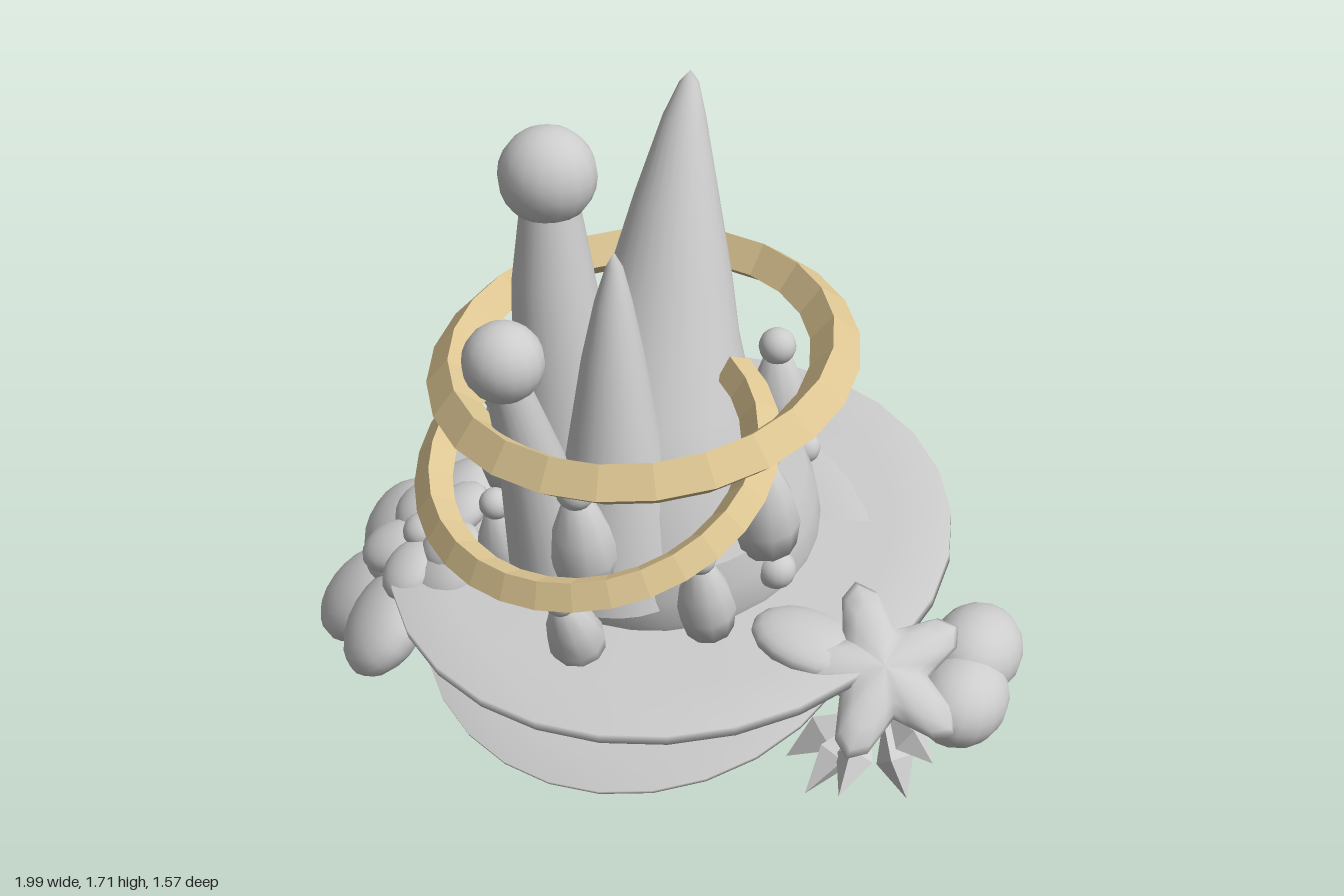
import * as THREE from 'three';
import { mergeVertices } from 'three/addons/utils/BufferGeometryUtils.js';

const TILT = 0.203, UP = new THREE.Vector3(0, 1, 0);

export function createModel() {
  const grey = new THREE.MeshStandardMaterial({ color: 0xcccccc, side: THREE.DoubleSide });
  grey.name = 'clay grey';
  const gold = new THREE.MeshStandardMaterial({ color: 0xdcc592, side: THREE.DoubleSide, flatShading: true });
  gold.name = 'pale gold';
  const model = new THREE.Group();

  const add = (name, geometry, parent = model, material = grey, p = [0, 0, 0]) => {
    const mesh = new THREE.Mesh(geometry, material);
    mesh.name = name;
    mesh.position.set(...p);
    parent.add(mesh);
    return mesh;
  };
  const group = (name, p, parent = model) => {
    const g = new THREE.Group();
    g.name = name;
    g.position.set(...p);
    parent.add(g);
    return g;
  };
  const lathe = (pts, seg) => new THREE.LatheGeometry(pts.map(p => new THREE.Vector2(...p)), seg);
  const ball = (name, r, p, parent = model) =>
    add(name, new THREE.SphereGeometry(r, 16, 12), parent, grey, p);

  // Round sections along a bent axis: rows of [y, x, z, radius]
  const horn = (name, rows, seg = 24) => {
    let geo = lathe(rows.map(r => [r[3], r[0]]), seg);
    const pos = geo.attributes.position;
    for (let i = 0; i < pos.count; i++) {
      const row = rows[i % rows.length];
      pos.setXYZ(i, pos.getX(i) + row[1], pos.getY(i), pos.getZ(i) + row[2]);
    }
    geo.deleteAttribute('uv');
    geo.deleteAttribute('normal');
    geo = mergeVertices(geo);
    geo.computeVertexNormals();
    return add(name, geo);
  };

  // Two crossing brims: the upper is a ring around the crown, the lower a full disc
  const brim = (name, p, tilt, inner, outer, edge) => {
    const m = add(name, lathe([[inner, -0.035], [outer * 0.8, -0.03], [outer, -edge], [outer, edge],
      [outer * 0.8, 0.022], [inner, 0.03]], 28), model, grey, p);
    m.rotation.x = tilt;
  };
  brim('upperBrim', [-0.02, 0.425, -0.03], TILT, 0.4, 0.765, 0.015);
  brim('lowerBrim', [-0.02, 0.325, 0.1], 0.453, 0, 0.625, 0.006);

  // Crown band with a slight bulge
  const crown = group('crown', [-0.02, 0.425, -0.03]);
  crown.rotation.x = TILT;
  add('crownBand', lathe([[0.37, -0.06], [0.4, -0.02], [0.415, 0.05], [0.41, 0.13], [0.39, 0.205]], 28), crown);
  add('crownFloor', new THREE.CylinderGeometry(0.37, 0.37, 0.01, 28), crown, grey, [0, -0.055, 0]);
  add('crownTop', new THREE.CylinderGeometry(0.39, 0.39, 0.01, 28), crown, grey, [0, 0.2, 0]);

  // Tall horns
  horn('mainHorn', [[0.45, 0, 0.08, 0.3], [0.7, -0.005, 0.065, 0.28], [0.9, -0.015, 0.025, 0.235],
    [1.05, -0.02, 0, 0.195], [1.2, -0.02, -0.035, 0.16], [1.4, -0.025, -0.08, 0.11],
    [1.6, -0.03, -0.135, 0.055], [1.68, -0.03, -0.162, 0.025], [1.71, -0.03, -0.17, 0]]);
  horn('frontHorn', [[0.45, -0.02, 0.27, 0.19], [0.7, -0.02, 0.27, 0.15], [0.95, -0.025, 0.27, 0.105],
    [1.1, -0.028, 0.265, 0.08], [1.25, -0.03, 0.257, 0.048], [1.34, -0.03, 0.25, 0.022], [1.38, -0.03, 0.25, 0]]);

  // Ball-topped columns
  horn('tallColumn', [[0.5, -0.18, 0.2, 0.17], [1, -0.21, 0.2, 0.13], [1.25, -0.23, 0.2, 0.105], [1.45, -0.235, 0.2, 0.075]]);
  ball('tallColumnBall', 0.125, [-0.24, 1.525, 0.2]);
  horn('shortColumn', [[0.45, -0.15, 0.36, 0.12], [0.85, -0.18, 0.42, 0.085], [1.1, -0.2, 0.5, 0.055]]);
  ball('shortColumnBall', 0.103, [-0.2, 1.16, 0.51]);

  // Small pins, placed by the centre of the head
  const pin = (name, head, s, lean) => {
    const g = group(name, head);
    g.rotation.x = lean;
    g.scale.setScalar(s);
    ball('pinHead', 0.05, [0, 0, 0], g);
    add('pinBody', lathe([[0, -0.29], [0.075, -0.29], [0.09, -0.21], [0.075, -0.13], [0.038, -0.035], [0, -0.03]], 10), g);
  };
  for (const s of [-1, 1]) {
    pin('backPin', [-0.03 + s * 0.235, 0.96, -0.22], 1, 0.1);
    pin('sidePin', [-0.03 + s * 0.375, 0.87, 0.19], 1, TILT);
    pin('lowerSidePin', [-0.03 + s * 0.295, 0.65, 0.37], 0.85, 0.25);
    ball('sideBead', 0.052, [-0.03 + s * 0.4, 0.51, 0.13]);
    ball('backBead', 0.045, [-0.03 + s * 0.27, 0.6, -0.34]);
  }
  pin('frontPin', [-0.03, 0.82, 0.47], 1, TILT);
  pin('lowerFrontPin', [-0.03, 0.55, 0.56], 0.85, 0.45);

  // Gold rings of diamond section, the lower one open at the back
  const ring = (name, p, tilt, R, tube, start, arc) => {
    const g = group(name, p);
    g.rotation.x = tilt;
    add('band', new THREE.TorusGeometry(R, tube, 4, 24, arc).rotateZ(start).rotateX(Math.PI / 2), g, gold);
    if (arc < 6) for (const a of [start, start + arc]) {
      add('bandEnd', new THREE.CircleGeometry(tube, 4), g, gold,
        [R * Math.cos(a), 0, R * Math.sin(a)]).rotation.y = -a;
    }
  };
  ring('upperRing', [-0.03, 1.02, 0.1], 0.2, 0.495, 0.064, 0, Math.PI * 2);
  ring('lowerRing', [-0.03, 0.865, 0.36], 0.43, 0.42, 0.05, -1.0, 4.9);

  // Five-petal flowers on one side of the brim, a small one above the large one
  const petal = (name, parent, p, size) => {
    const m = ball(name, 1, p, parent);
    m.scale.set(...size);
    return m;
  };
  const flower = (name, p, normal, scale) => {
    const g = group(name, p);
    g.quaternion.setFromUnitVectors(UP, new THREE.Vector3(...normal).normalize());
    g.scale.setScalar(scale);
    for (let i = 0; i < 5; i++) {
      const spoke = group('petalSpoke', [0, 0, 0], g);
      spoke.rotation.y = i * Math.PI * 0.4 + 0.93;
      petal('petal', spoke, [0.175, 0, 0], [0.16, 0.085, 0.135]);
    }
    petal('flowerCentre', g, [0, 0.05, 0], [0.085, 0.07, 0.085]);
  };
  flower('flower', [-0.715, 0.255, 0.2], [-0.53, 0.67, 0.42], 1.07);
  flower('smallFlower', [-0.62, 0.4, 0.25], [-0.3, 0.83, 0.42], 0.62);

  // Starfish on the other side
  const starGeo = new THREE.SphereGeometry(1, 30, 8);
  const sp = starGeo.attributes.position;
  for (let i = 0; i < sp.count; i++) {
    const x = sp.getX(i), z = sp.getZ(i);
    const f = 0.185 + 0.06 * Math.cos(5 * Math.atan2(z, x));
    sp.setXYZ(i, x * f, sp.getY(i) * 0.06, z * f);
  }
  starGeo.rotateY(-0.2);
  starGeo.computeVertexNormals();
  const star = add('starfish', starGeo, model, grey, [0.7, 0.34, 0.21]);
  star.quaternion.setFromUnitVectors(UP, new THREE.Vector3(0.38, 0.75, 0.5).normalize());

  // Shells around the starfish
  petal('shell', model, [0.86, 0.285, -0.07], [0.12, 0.11, 0.155]).rotation.z = -0.4;
  petal('shell', model, [0.875, 0.225, 0.07], [0.12, 0.115, 0.155]).rotation.z = -0.3;
  petal('shell', model, [0.51, 0.38, 0.22], [0.16, 0.055, 0.12]).rotation.z = -0.15;

  // Pointed crystals hanging below the starfish
  const centre = new THREE.Vector3(0.7, 0.26, 0.22);
  for (const tip of [[0.52, 0.13, 0.38], [0.6, 0.08, 0.44], [0.7, 0.12, 0.46], [0.83, 0.06, 0.32], [0.88, 0.16, 0.28]]) {
    const end = new THREE.Vector3(...tip), dir = end.clone().sub(centre);
    const mid = centre.clone().addScaledVector(dir, 0.6);
    const geo = new THREE.OctahedronGeometry(1).scale(0.05, dir.length() * 0.4, 0.05);
    add('crystal', geo, model, grey, mid.toArray()).quaternion.setFromUnitVectors(UP, dir.normalize());
  }
  return model;
}
